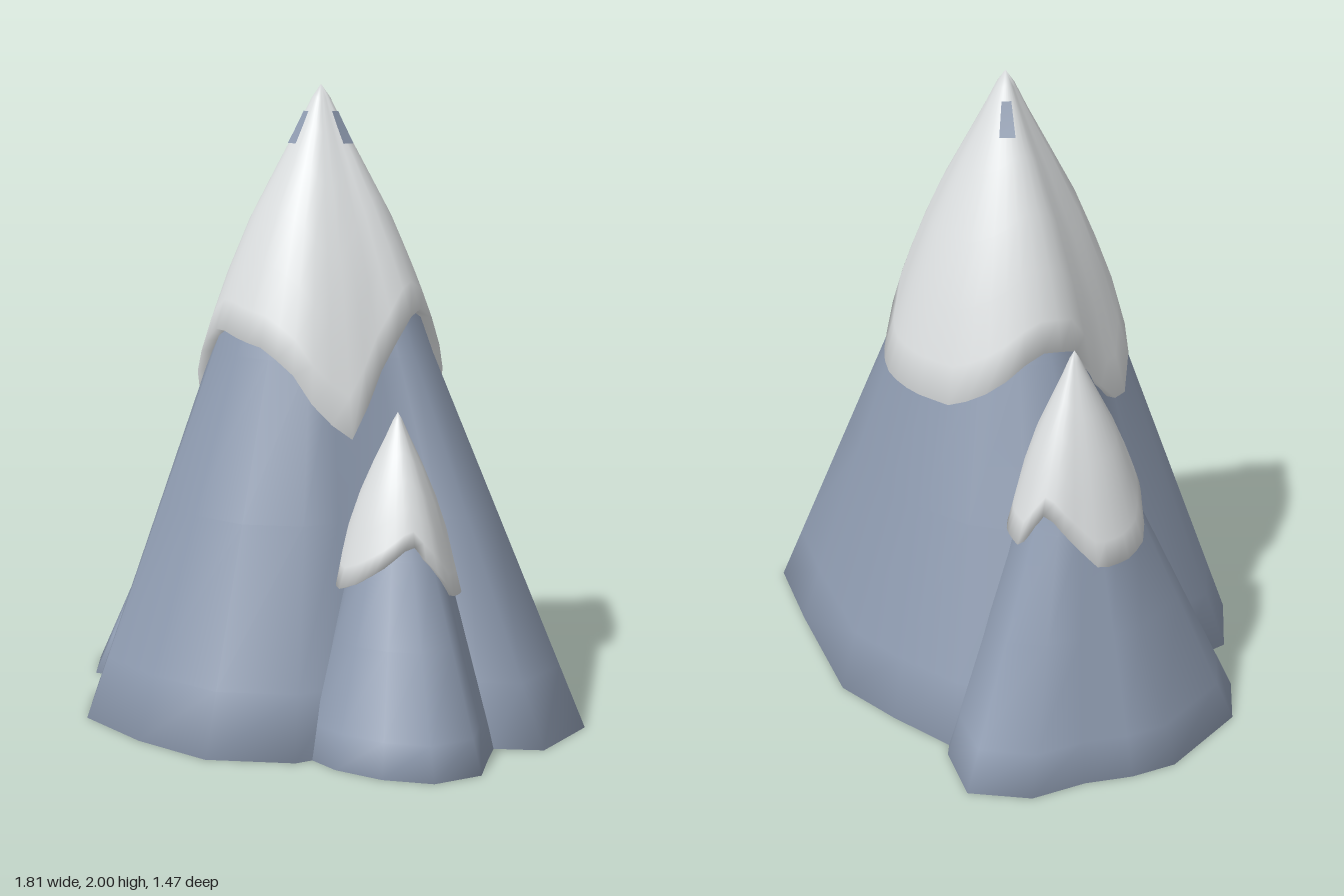
import * as THREE from 'three';
import { mergeVertices } from 'three/addons/utils/BufferGeometryUtils.js';

const rock = new THREE.MeshStandardMaterial({ color: 0x8f9cb1 });
rock.name = 'slate blue rock';
const snow = new THREE.MeshStandardMaterial({ color: 0xdcdfe0 });
snow.name = 'snow white';

const TAU = Math.PI * 2;
const rad = (d) => (d * Math.PI) / 180;

// Linear interpolation in a sorted table of [key, value]
function lookup(table, k) {
  for (let i = 1; i < table.length; i++) {
    const [k0, v0] = table[i - 1], [k1, v1] = table[i];
    if (k <= k1) return v0 + ((v1 - v0) * (k - k0)) / (k1 - k0 || 1);
  }
  return table[table.length - 1][1];
}

// Repeat an angular table on both sides so it can be sampled all round
function wrap(table) {
  const s = [...table].sort((a, b) => a[0] - b[0]);
  return [-TAU, 0, TAU].flatMap((o) => s.map(([a, v]) => [a + o, v]));
}

// Closed surface through rings of radius/height sampled at the given angles
function loft(angles, rows, point) {
  const n = angles.length, pos = [], index = [];
  rows.forEach((row) => angles.forEach((a) => {
    const [r, y] = point(a, row);
    pos.push(r * Math.cos(a), y, r * Math.sin(a));
  }));
  for (let j = 0; j < rows.length - 1; j++) {
    for (let i = 0; i < n; i++) {
      const a = j * n + i, b = j * n + ((i + 1) % n);
      index.push(a, a + n, b, b, a + n, b + n);
    }
  }
  let g = new THREE.BufferGeometry();
  g.setAttribute('position', new THREE.Float32BufferAttribute(pos, 3));
  g.setIndex(index);
  g = mergeVertices(g, 1e-4);
  g.computeVertexNormals();
  return g;
}

// Taper of the upper part, by fraction of the height
const taper = [[0.6, 1], [0.65, 0.92], [0.725, 0.755], [0.8, 0.57], [0.875, 0.36], [0.935, 0.19], [0.98, 0.075], [1, 0]];

function peak(name, { x, z, height, waist, base, snowLine, patches = [] }) {
  const group = new THREE.Group();
  group.name = name;
  group.position.set(x, 0, z);

  const outline = base.map(([px, pz]) => [Math.atan2(pz - z, px - x), Math.hypot(px - x, pz - z)])
    .sort((a, b) => a[0] - b[0]);
  const foot = wrap(outline);
  const edge = wrap(snowLine.map(([d, y]) => [rad(d), y]));

  // Irregular at the foot, rounder higher up
  const radius = (a, t) => {
    const r0 = lookup(foot, a), r1 = waist * height + 0.23 * r0;
    return t < 0.6 ? r0 + ((r1 - r0) * t) / 0.6 : r1 * lookup(taper, t);
  };
  const capRadius = (a, t) => radius(a, t) + (0.008 + 0.005 * height) * Math.min(1, (1 - t) * 5);

  // Rock body; negative rows close the underside
  const body = new THREE.Mesh(loft(outline.map((p) => p[0]), [-1, -0.12, 0, 0.1, 0.35, 0.6, 0.72, 0.8, 0.9, 1],
    (a, t) => (t < 0 ? [radius(a, 0) * (1 + t), 0] : [radius(a, t), t * height * 0.97])), rock);
  body.name = 'rockBody';
  group.add(body);

  // Snow cap with wavy lower edge curling in to the rock
  const angles = Array.from({ length: 40 }, (_, i) => (i / 40) * TAU);
  const cap = new THREE.Mesh(loft(angles, [-1, 0, 0.12, 0.3, 0.5, 0.7, 0.85, 0.95, 1], (a, s) => {
    const e = lookup(edge, a) / height;
    if (s < 0) return [capRadius(a, e) - 0.05, e * height];
    const t = e + (1 - e) * s;
    return [capRadius(a, t), t * height];
  }), snow);
  cap.name = 'snowCap';
  group.add(cap);

  // Small bare patches near the summit
  patches.forEach((d) => {
    const g = new THREE.PlaneGeometry(1, 1, 1, 3), p = g.attributes.position;
    for (let i = 0; i < p.count; i++) {
      const u = p.getX(i), v = p.getY(i) + 0.5;
      const t = 0.908 + 0.05 * v, a = rad(d), r = capRadius(a, t) + 0.005;
      const w = -u * (0.05 - 0.02 * v);
      p.setXYZ(i, r * Math.cos(a) - w * Math.sin(a), t * height, r * Math.sin(a) + w * Math.cos(a));
    }
    g.computeVertexNormals();
    const patch = new THREE.Mesh(g, rock);
    patch.name = 'barePatch';
    group.add(patch);
  });
  return group;
}

export function createModel() {
  const model = new THREE.Group();
  model.name = 'mountain';

  model.add(peak('mainPeak', {
    x: 0.02, z: 0.01, height: 2, waist: 0.0875,
    base: [[0.9, 0], [0.77, 0.09], [0.62, 0.17], [0.46, 0.42], [0.4, 0.58], [0.17, 0.73], [-0.11, 0.73],
      [-0.4, 0.67], [-0.57, 0.47], [-0.54, 0.27], [-0.58, 0.1], [-0.74, -0.1], [-0.75, -0.3], [-0.59, -0.48],
      [-0.35, -0.6], [-0.1, -0.62], [0.15, -0.62], [0.58, -0.42], [0.87, -0.27]],
    snowLine: [[0, 1.29], [18, 1.13], [36, 0.93], [50, 1.0], [62, 1.12], [78, 1.2], [95, 1.22], [115, 1.25],
      [140, 1.13], [156, 0.93], [172, 1.04], [190, 1.2], [210, 1.21], [230, 1.1], [250, 1.03], [275, 1.03],
      [300, 1.04], [322, 1.08], [335, 1.2], [346, 1.32]],
    patches: [0, 110, 222],
  }));

  model.add(peak('rightHandPeak', {
    x: -0.46, z: -0.18, height: 1.27, waist: 0.065,
    base: [[-0.91, -0.18], [-0.87, 0.15], [-0.74, 0.3], [-0.53, 0.26], [-0.3, 0.18], [-0.12, 0],
      [-0.08, -0.25], [-0.2, -0.45], [-0.37, -0.64], [-0.56, -0.74], [-0.72, -0.62], [-0.78, -0.45], [-0.86, -0.32]],
    snowLine: [[0, 0.8], [40, 0.7], [80, 0.59], [100, 0.72], [118, 0.82], [138, 0.79], [160, 0.68], [180, 0.65],
      [205, 0.64], [230, 0.74], [250, 0.82], [270, 0.7], [300, 0.7]],
  }));

  model.add(peak('leftHandPeak', {
    x: 0.46, z: 0.17, height: 1.02, waist: 0.08,
    base: [[0.53, 0.55], [0.69, 0.53], [0.83, 0.46], [0.89, 0.31], [0.82, 0.18], [0.77, 0.08], [0.57, -0.06],
      [0.35, -0.08], [0.2, 0.1], [0.22, 0.35], [0.39, 0.52]],
    snowLine: [[0, 0.48], [20, 0.57], [38, 0.65], [66, 0.57], [90, 0.52], [112, 0.49], [150, 0.55], [200, 0.6],
      [270, 0.6], [315, 0.55], [332, 0.47]],
  }));
  return model;
}
